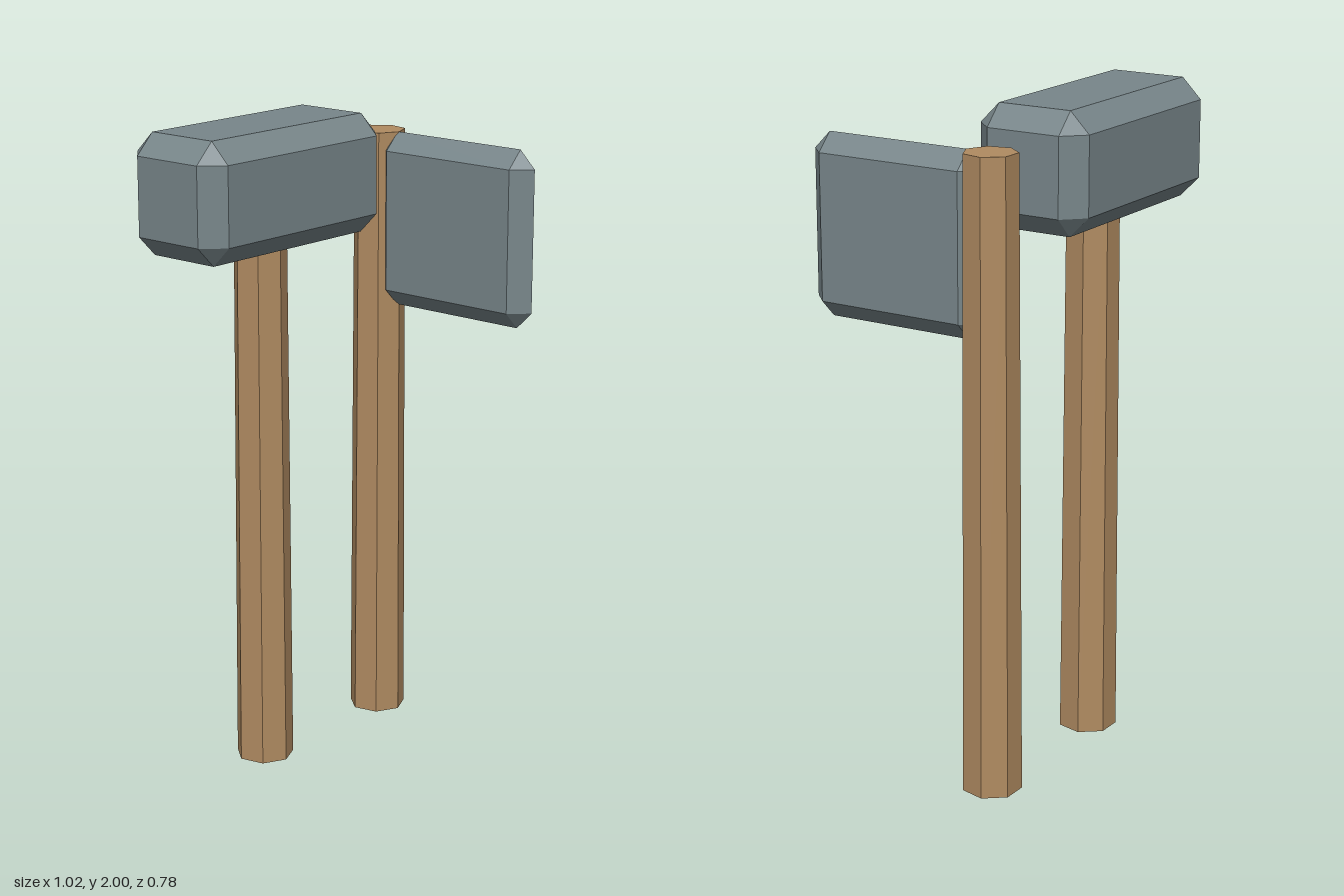
import * as THREE from 'three';
import { ConvexGeometry } from 'three/addons/geometries/ConvexGeometry.js';

// Box with every edge cut by a flat bevel c and corners closed by triangles
function bevelledBox(w, h, d, c) {
  const half = [w / 2, h / 2, d / 2];
  const points = [];
  for (const sx of [-1, 1]) for (const sy of [-1, 1]) for (const sz of [-1, 1]) {
    const sign = [sx, sy, sz];
    for (let axis = 0; axis < 3; axis++) {
      const p = half.map((v, i) => sign[i] * (i === axis ? v : v - c));
      const point = new THREE.Vector3(...p);
      // A bevel as wide as half the box makes a sharp edge: keep its points once
      if (!points.some((q) => q.distanceTo(point) < 1e-6)) points.push(point);
    }
  }
  return new ConvexGeometry(points);
}

export function createModel() {
  const model = new THREE.Group();
  model.name = 'hammerAndAxe';

  const wood = new THREE.MeshStandardMaterial({ color: 0xb08b61 });
  wood.name = 'wood';
  wood.flatShading = true;
  const steel = new THREE.MeshStandardMaterial({ color: 0x78868a });
  steel.name = 'steel';
  steel.flatShading = true;

  const addPart = (group, name, geometry, material, x, y, z) => {
    const mesh = new THREE.Mesh(geometry, material);
    mesh.name = name;
    mesh.position.set(x, y, z);
    group.add(mesh);
  };

  // Tapered seven-sided handle shared by both tools
  const handleHeight = 1.91;
  const handle = new THREE.CylinderGeometry(0.08, 0.09, handleHeight, 7);

  const hammer = new THREE.Group();
  hammer.name = 'hammer';
  addPart(hammer, 'hammerHandle', handle, wood, -0.128, handleHeight / 2, -0.21);
  addPart(hammer, 'hammerHead', bevelledBox(0.765, 0.36, 0.36, 0.062), steel, -0.128, 1.82, -0.21);

  // The blade bevels meet in a sharp edge all round
  const axe = new THREE.Group();
  axe.name = 'axe';
  addPart(axe, 'axeHandle', handle, wood, 0.418, handleHeight / 2, -0.21);
  addPart(axe, 'axeBlade', bevelledBox(0.108, 0.544, 0.58, 0.054), steel, 0.418, 1.638, 0.1);

  model.add(hammer, axe);
  return model;
}
